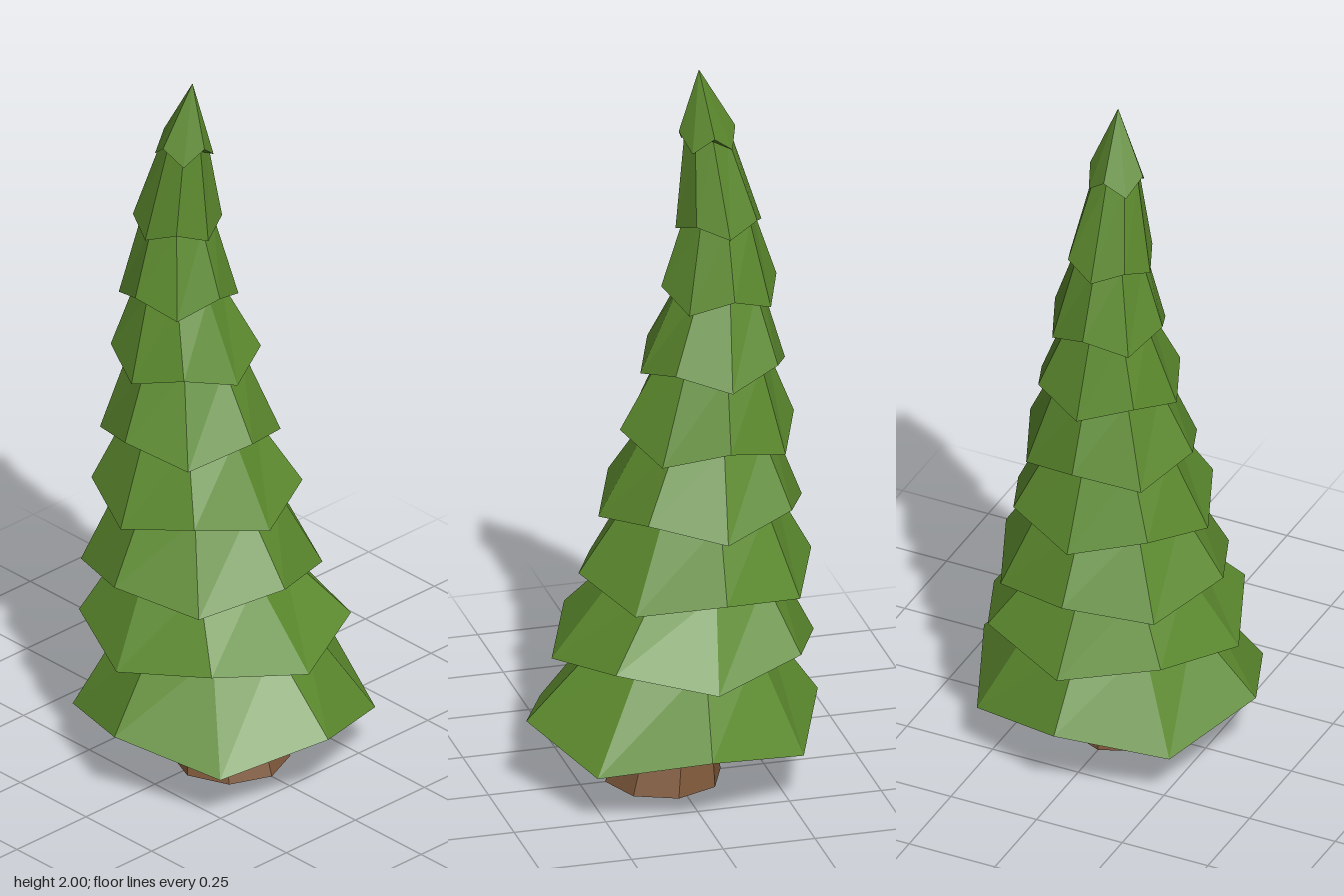
import * as THREE from 'three';

const SIDES = 8;

// A ring is { x, z, r, y, wave }; wave is the height change of every second corner.
function corner(ring, i) {
  const a = (i / SIDES) * Math.PI * 2;
  return [
    ring.x + ring.r * Math.sin(a),
    ring.y + (i % 2 ? ring.wave || 0 : 0),
    ring.z + ring.r * Math.cos(a),
  ];
}

// Skin a stack of rings; rings of radius 0 close to a point
function loft(rings) {
  const pos = [];
  for (let k = 0; k < rings.length - 1; k++) {
    const lo = rings[k], hi = rings[k + 1];
    for (let i = 0; i < SIDES; i++) {
      const a = corner(lo, i), b = corner(lo, i + 1);
      const c = corner(hi, i + 1), d = corner(hi, i);
      if (lo.r > 0) pos.push(...a, ...b, ...c);
      if (hi.r > 0) pos.push(...a, ...c, ...d);
    }
  }
  const g = new THREE.BufferGeometry();
  g.setAttribute('position', new THREE.Float32BufferAttribute(pos, 3));
  g.computeVertexNormals();
  return g;
}

export function createModel() {
  const tree = new THREE.Group();
  tree.name = 'pineTree';
  const green = new THREE.MeshStandardMaterial({ color: 0x5c8a2e, flatShading: true });
  const brown = new THREE.MeshStandardMaterial({ color: 0x805a3c, flatShading: true });

  const add = (name, rings, material) => {
    const mesh = new THREE.Mesh(loft(rings), material);
    mesh.name = name;
    tree.add(mesh);
  };

  // Leaning tapered trunk with a closed foot
  add('trunk', [
    { x: 0.025, z: 0, r: 0, y: 0 },
    { x: 0.025, z: 0, r: 0.157, y: 0 },
    { x: -0.01, z: 0, r: 0.1, y: 0.28 },
  ], brown);

  // Branch tiers: rim centre x, z, rim height, rim wave, radius of the neck under the rim
  const tiers = [
    [0, 0, 0.2, -0.06, 0.1],
    [-0.03, 0.004, 0.37, 0.045, 0.225],
    [-0.067, 0.017, 0.6, -0.042, 0.21],
    [-0.082, 0.02, 0.755, 0.045, 0.2],
    [-0.102, 0.025, 0.995, -0.048, 0.17],
    [-0.118, 0.026, 1.15, 0.042, 0.147],
    [-0.137, 0.034, 1.39, -0.045, 0.112],
    [-0.137, 0.038, 1.55, 0.033, 0.095],
    [-0.107, 0.042, 1.825, -0.045, 0.062],
  ];
  const neck = (i) => {
    if (i === tiers.length) return { x: -0.083, z: 0.035, r: 0, y: 2 };
    const [x, z, y, wave, r] = tiers[i];
    return { x, z, r, y: i ? y + wave / 2 + 0.01 : 0.24 };
  };
  tiers.forEach(([x, z, y, wave], i) => {
    const rim = { x, z, y, wave, r: 0.397 - 0.04 * i };
    add(`branchTier${i + 1}`, [neck(i), rim, neck(i + 1)], green);
  });

  return tree;
}
